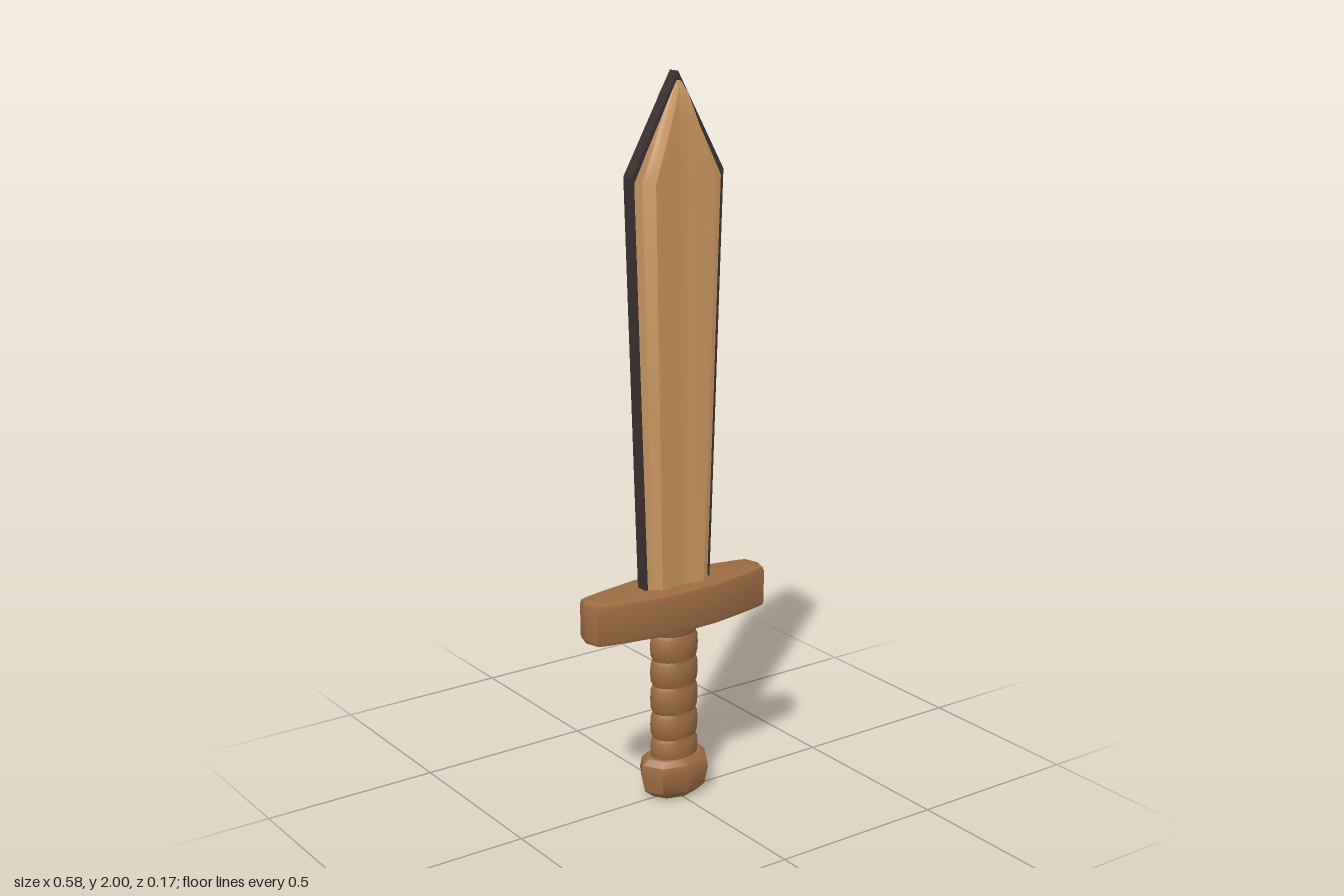
import * as THREE from 'three';
import { toCreasedNormals } from 'three/addons/utils/BufferGeometryUtils.js';

const bladeWood = new THREE.MeshStandardMaterial({ name: 'pale wood', color: 0xc8965f });
const hiltWood = new THREE.MeshStandardMaterial({ name: 'brown wood', color: 0x9c6b41 });
const edgeDark = new THREE.MeshStandardMaterial({ name: 'dark edge', color: 0x3a3130 });

function part(name, geometry, material, crease = 0.6) {
  const mesh = new THREE.Mesh(toCreasedNormals(geometry, crease), material);
  mesh.name = name;
  return mesh;
}

// Closed surface through equal-length rings of [x, y, z], each running +z, +x, -z, -x
function loft(rings) {
  const n = rings[0].length, index = [];
  for (let i = 0; i < rings.length - 1; i++) {
    for (let j = 0; j < n; j++) {
      const a = i * n + j, b = i * n + (j + 1) % n;
      index.push(a, b, a + n, b, b + n, a + n);
    }
  }
  const g = new THREE.BufferGeometry();
  g.setAttribute('position', new THREE.Float32BufferAttribute(rings.flat(2), 3));
  g.setIndex(index);
  return g;
}

// Blade section: shallow central groove, rounded ridges, hollow bevel, flat rim
function bladeRing([y, w, depth, groove]) {
  const quarter = [
    [0, groove], [w * 0.25, groove + (depth - groove) * 0.35], [w * 0.5, depth * 0.97],
    [w * 0.7, depth], [w * 0.77, 0.021 + (depth - 0.021) * 0.4],
    [w * 0.85, Math.min(0.023, depth)], [w, Math.min(0.019, depth)],
  ];
  const right = [...quarter, ...quarter.slice().reverse().map(([x, z]) => [x, -z])];
  const left = right.slice(1, -1).reverse().map(([x, z]) => [-x, z]);
  return [...right, ...left].map(([x, z]) => [x, y, z]);
}

// Oval turned part
function turned(profile, sides, depthScale) {
  const g = new THREE.LatheGeometry(profile.map(([r, y]) => new THREE.Vector2(r, y)), sides);
  return g.scale(1, 1, depthScale);
}

export function createModel() {
  const sword = new THREE.Group();
  sword.name = 'sword';

  // Dark edge plate running all round the blade
  const outline = new THREE.Shape([
    [-0.105, 0.58], [0.105, 0.58], [0.145, 1.74], [0, 2], [-0.145, 1.74],
  ].map(([x, y]) => new THREE.Vector2(x, y)));
  const plate = new THREE.ExtrudeGeometry(outline, { depth: 0.036, bevelEnabled: false });
  plate.translate(0, 0, -0.018);
  sword.add(part('bladeEdge', plate, edgeDark, 0.3));

  // Grooved wooden blade: y, half width, ridge depth, groove depth
  const sections = [
    [0.58, 0.097, 0.044, 0.035], [1.15, 0.117, 0.051, 0.04], [1.725, 0.136, 0.056, 0.045],
    [1.8, 0.098, 0.054, 0.045], [1.88, 0.056, 0.048, 0.044], [1.945, 0.022, 0.041, 0.041],
    [1.975, 0.006, 0.026, 0.026], [1.98, 0, 0, 0],
  ];
  sword.add(part('blade', loft(sections.map(bladeRing)), bladeWood, 0.55));

  // Crossguard, tapering to blunt points
  const half = [[0.29, 0], [0.277, 0.042], [0.25, 0.05], [0.19, 0.063], [0.09, 0.08], [0, 0.083]];
  const upper = [...half, ...half.slice(0, -1).reverse().map(([x, z]) => [-x, z])];
  const lower = upper.slice(1, -1).reverse().map(([x, z]) => [x, -z]);
  const guardShape = new THREE.Shape([...upper, ...lower].map(([x, z]) => new THREE.Vector2(x, z)));
  const guard = new THREE.ExtrudeGeometry(guardShape, {
    depth: 0.09, bevelThickness: 0.015, bevelSize: 0.012, bevelOffset: -0.012, bevelSegments: 2,
  });
  guard.rotateX(-Math.PI / 2).translate(0, 0.52, 0);
  sword.add(part('guard', guard, hiltWood));

  // Grip with swelling bands between narrow seams
  const seams = [0.1, 0.175, 0.25, 0.33, 0.405, 0.48, 0.54];
  const grip = [];
  for (let i = 0; i < seams.length - 1; i++) {
    const y = seams[i], h = seams[i + 1] - y;
    grip.push([0.064, y], [0.07, y + h * 0.15], [0.072, y + h * 0.5], [0.07, y + h * 0.85]);
  }
  grip.push([0.064, 0.54]);
  sword.add(part('grip', turned(grip, 16, 0.73), hiltWood, 0.75));

  // Faceted pommel
  const pommel = [
    [0, 0], [0.07, 0.004], [0.098, 0.025], [0.11, 0.075], [0.104, 0.105], [0.085, 0.12], [0, 0.125],
  ];
  sword.add(part('pommel', turned(pommel, 8, 0.7), hiltWood, 0.65));

  return sword;
}
